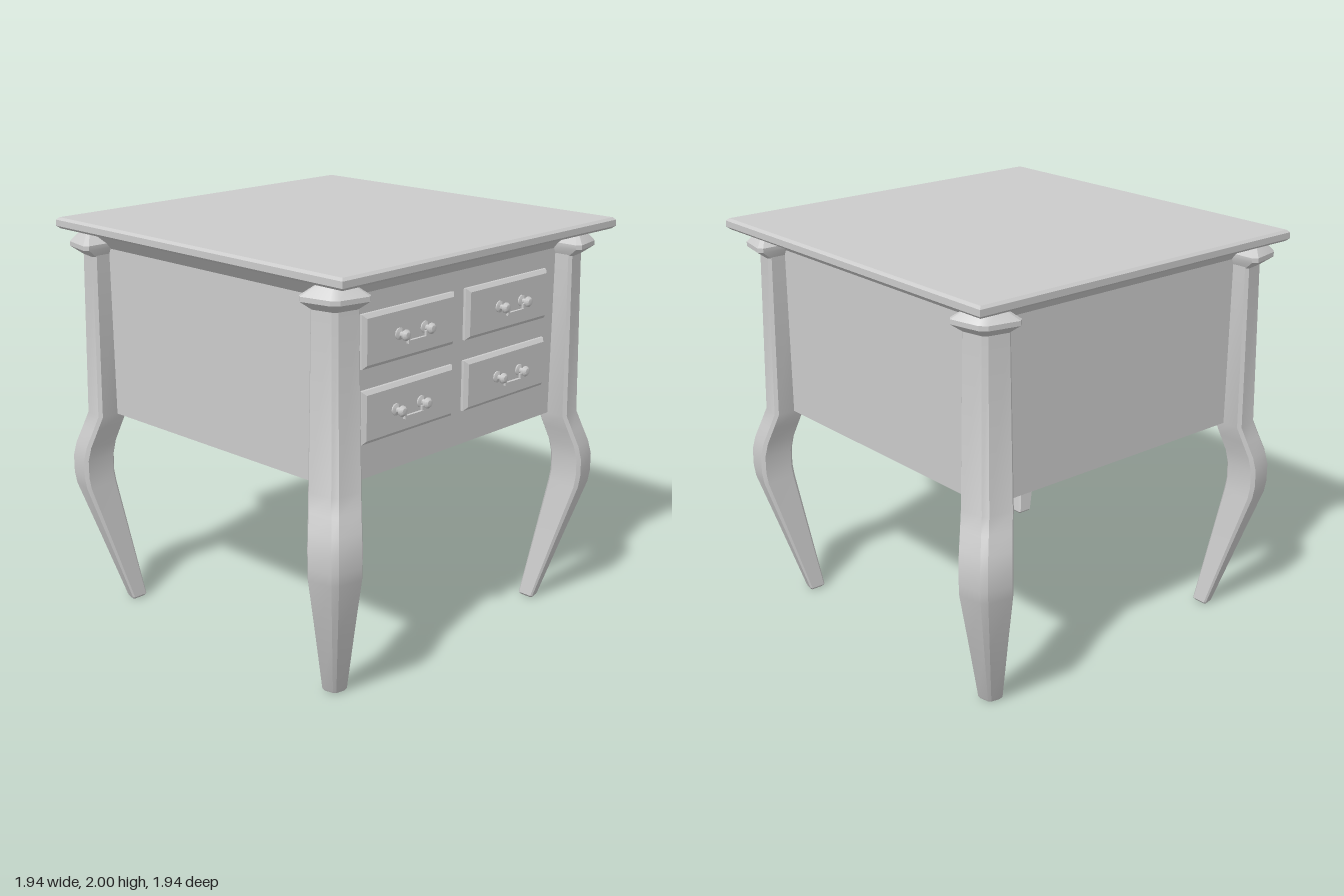
import * as THREE from 'three';
import { toCreasedNormals } from 'three/addons/utils/BufferGeometryUtils.js';

const material = new THREE.MeshStandardMaterial({ color: 0xcccccc });

// Closed solid through a stack of horizontal rings; each ring is { y, pts: [[x, z], ...] }, ordered +x to +z
function loft(rings, crease = 0.42) {
  const n = rings[0].pts.length, pos = [], idx = [];
  for (const { y, pts } of rings) for (const [x, z] of pts) pos.push(x, y, z);
  for (let r = 0; r < rings.length - 1; r++) {
    for (let i = 0; i < n; i++) {
      const a = r * n + i, b = r * n + (i + 1) % n;
      idx.push(a, a + n, b, b, a + n, b + n);
    }
  }
  const top = (rings.length - 1) * n;
  for (let i = 1; i < n - 1; i++) idx.push(0, i, i + 1, top, top + i + 1, top + i);
  const geometry = new THREE.BufferGeometry();
  geometry.setAttribute('position', new THREE.Float32BufferAttribute(pos, 3));
  geometry.setIndex(idx);
  return toCreasedNormals(geometry, crease);
}

const rect = (y, hx, hz) => ({ y, pts: [[hx, -hz], [hx, hz], [-hx, hz], [-hx, -hz]] });

// Leg cross-section: square with broken corners and a faceted outer corner
const SECTION = [[0.1, 0], [0.92, 0], [1, 0.1], [0.87, 0.74], [0.74, 0.87], [0.1, 1], [0, 0.92], [0, 0.1]];
const legRing = ([y, inner, outer]) => ({
  y, pts: SECTION.map(([u, v]) => [inner + u * (outer - inner), inner + v * (outer - inner)]),
});

function add(parent, name, geometry, x = 0, y = 0, z = 0) {
  const mesh = new THREE.Mesh(geometry, material);
  mesh.name = name;
  mesh.position.set(x, y, z);
  parent.add(mesh);
  return mesh;
}

// Two turned knobs with a drop bail between them
function createHandle() {
  const handle = new THREE.Group();
  handle.name = 'handle';
  const profile = [[0, 0], [0.028, 0], [0.028, 0.008], [0.012, 0.014], [0.012, 0.028],
    [0.024, 0.036], [0.026, 0.046], [0.016, 0.057], [0, 0.06]].map(([r, y]) => new THREE.Vector2(r, y));
  const knob = toCreasedNormals(new THREE.LatheGeometry(profile, 12).rotateX(Math.PI / 2), 0.6);
  for (const s of [-1, 1]) {
    add(handle, 'knob', knob, s * 0.084, 0, 0);
    add(handle, 'bailArm', new THREE.BoxGeometry(0.03, 0.012, 0.012), s * 0.07, -0.012, 0.034);
    add(handle, 'bailDrop', new THREE.BoxGeometry(0.012, 0.036, 0.012), s * 0.058, -0.024, 0.034);
  }
  add(handle, 'bailBar', new THREE.BoxGeometry(0.128, 0.014, 0.014), 0, -0.036, 0.034);
  return handle;
}

export function createModel() {
  const model = new THREE.Group();
  model.name = 'sideTable';

  // Top with chamfered edges
  add(model, 'tableTop', loft([
    rect(1.945, 0.94, 0.957), rect(1.958, 0.955, 0.972), rect(1.988, 0.955, 0.972), rect(2, 0.942, 0.959),
  ]), 0.013, 0, -0.002);

  // Cabinet flaring out under the top
  add(model, 'cabinet', loft([
    rect(1.02, 0.8, 0.8), rect(1.86, 0.8, 0.8), rect(1.946, 0.87, 0.87),
  ]), -0.006, 0, -0.008);

  // Curved legs with flared caps, one per corner: [height, inner edge, outer edge]
  const legGeometry = loft([
    [0, 0.7, 0.77], [0.012, 0.69, 0.778], [0.35, 0.737, 0.875], [0.64, 0.777, 0.96], [0.7, 0.783, 0.967],
    [0.79, 0.782, 0.967], [0.86, 0.772, 0.954], [0.94, 0.75, 0.929], [1.02, 0.728, 0.905], [1.84, 0.733, 0.888],
  ].map(legRing));
  const capGeometry = loft([
    [1.825, 0.737, 0.885], [1.868, 0.718, 0.947], [1.89, 0.718, 0.947], [1.948, 0.785, 0.88],
  ].map(legRing));
  for (let i = 0; i < 4; i++) {
    const leg = new THREE.Group();
    leg.name = 'leg';
    add(leg, 'legPost', legGeometry);
    add(leg, 'legCap', capGeometry);
    leg.rotation.y = i * Math.PI / 2;
    leg.position.set(-0.006, 0, -0.006);
    model.add(leg);
  }

  // Four bevelled drawer fronts with handles
  const drawerGeometry = loft([
    rect(-0.01, 0.302, 0.122), rect(0.014, 0.302, 0.122), rect(0.03, 0.284, 0.104),
  ]).rotateX(Math.PI / 2);
  for (const [x, y, handleX] of [
    [-0.353, 1.65, -0.35], [0.337, 1.65, 0.347], [-0.353, 1.308, -0.366], [0.337, 1.308, 0.347],
  ]) {
    add(model, 'drawerFront', drawerGeometry, x, y, 0.792);
    const handle = createHandle();
    handle.position.set(handleX, y + 0.002, 0.82);
    model.add(handle);
  }
  return model;
}
